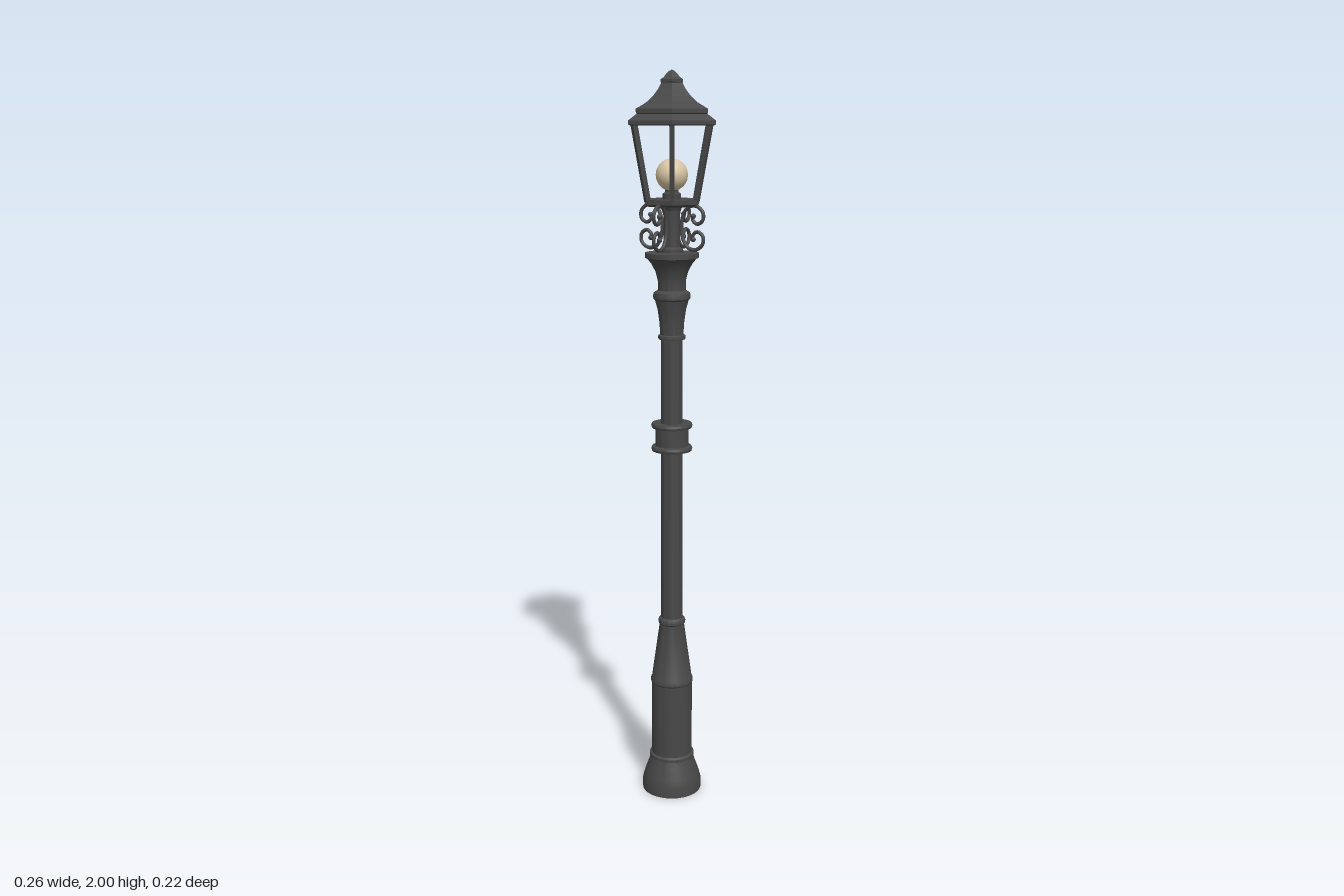
import * as THREE from 'three';
import { toCreasedNormals } from 'three/addons/utils/BufferGeometryUtils.js';

export function createModel() {
  const model = new THREE.Group();
  const iron = new THREE.MeshStandardMaterial({ color: 0x484848 });
  iron.name = 'cast iron';
  const glow = new THREE.MeshStandardMaterial({ color: 0xd8c6a4 });
  glow.name = 'warm bulb glass';

  const add = (name, geometry, material = iron, parent = model) => {
    const mesh = new THREE.Mesh(geometry, material);
    mesh.name = name;
    parent.add(mesh);
    return mesh;
  };
  // Profiles are [radius, height] pairs listed from bottom to top
  const turned = (name, profile, sides = 32) => add(name, toCreasedNormals(
    new THREE.LatheGeometry(profile.map(([r, y]) => new THREE.Vector2(r, y)), sides, Math.PI / 6),
    sides === 6 ? 0.1 : 0.5));
  const hexagonal = (name, profile) => turned(name, profile, 6);

  // Post, from the ground up
  turned('base', [[0, 0], [0.083, 0], [0.083, 0.028], [0.077, 0.05], [0.066, 0.08], [0.06, 0.098],
    [0.063, 0.1], [0.063, 0.108], [0.057, 0.112]]);
  turned('pedestal', [[0.057, 0.11], [0.057, 0.325], [0.059, 0.328], [0.059, 0.336], [0.056, 0.342],
    [0.034, 0.5], [0.037, 0.503], [0.038, 0.509], [0.036, 0.515], [0.029, 0.52]]);
  turned('shaft', [[0.03, 0.515], [0.029, 1.33]]);
  turned('collar', [[0.028, 1], [0.054, 1], [0.056, 1.006], [0.054, 1.012], [0.045, 1.014],
    [0.045, 1.062], [0.054, 1.064], [0.056, 1.07], [0.054, 1.076], [0.028, 1.076]]);
  turned('capital', [[0.029, 1.305], [0.036, 1.306], [0.037, 1.311], [0.036, 1.316], [0.031, 1.318],
    [0.033, 1.35], [0.038, 1.385], [0.045, 1.41], [0.049, 1.414], [0.05, 1.422], [0.048, 1.43],
    [0.037, 1.437], [0.037, 1.46], [0.043, 1.485], [0.055, 1.507], [0.066, 1.52],
    [0.071, 1.522], [0.071, 1.535], [0, 1.537]]);
  turned('neck', [[0.03, 1.533], [0.03, 1.545], [0.022, 1.55], [0.022, 1.645], [0.03, 1.66]]);

  // Four scroll brackets around the neck
  const half = [[0.029, 1.602], [0.033, 1.63], [0.048, 1.654], [0.073, 1.658], [0.092, 1.643],
    [0.092, 1.622], [0.076, 1.612], [0.063, 1.621], [0.064, 1.632]];
  const lower = half.slice(1).reverse().map(([x, y]) => [x, 3.204 - y]);
  const curve = new THREE.CatmullRomCurve3([...lower, ...half].map(([x, y]) => new THREE.Vector3(x, y, 0)));
  const scrollGeometry = new THREE.TubeGeometry(curve, 64, 0.005, 8);
  const scrolls = new THREE.Group();
  scrolls.name = 'scrollBrackets';
  model.add(scrolls);
  for (let i = 0; i < 4; i++) {
    const bracket = new THREE.Group();
    bracket.name = 'scrollBracket';
    bracket.rotation.y = i * Math.PI / 2;
    scrolls.add(bracket);
    add('scroll', scrollGeometry, iron, bracket);
    // Rounded scroll tips
    [half[8], lower[0]].forEach(([x, y]) =>
      add('scrollTip', new THREE.SphereGeometry(0.007, 10, 8), iron, bracket).position.set(x, y, 0));
  }

  // Lantern floor, bulb holder and bulb
  hexagonal('lanternFloor', [[0, 1.656], [0.07, 1.656], [0.08, 1.662], [0.08, 1.674], [0, 1.674]]);
  turned('bulbHolder', [[0.024, 1.673], [0.024, 1.688], [0.018, 1.692], [0.018, 1.704], [0, 1.704]], 20);
  add('bulb', new THREE.SphereGeometry(0.042, 24, 16), glow).position.y = 1.736;

  // Six slanted corner bars
  const foot = new THREE.Vector3(0.073, 1.668, 0);
  const head = new THREE.Vector3(0.113, 1.866, 0);
  const slope = head.clone().sub(foot);
  for (let i = 0; i < 6; i++) {
    const corner = new THREE.Group();
    corner.name = 'cornerBar';
    corner.rotation.y = i * Math.PI / 3;
    model.add(corner);
    const bar = add('bar', new THREE.BoxGeometry(0.012, slope.length(), 0.012), iron, corner);
    bar.position.copy(foot).add(head).multiplyScalar(0.5);
    bar.rotation.z = -Math.atan2(slope.x, slope.y);
  }

  // Stepped, concave hexagonal roof and finial
  hexagonal('eaves', [[0, 1.861], [0.124, 1.861], [0.128, 1.864], [0.128, 1.874], [0.122, 1.878],
    [0.104, 1.89]]);
  hexagonal('roof', [[0.1, 1.888], [0.106, 1.892], [0.106, 1.903], [0.099, 1.906], [0.076, 1.918],
    [0.056, 1.934], [0.041, 1.951], [0.03, 1.969]]);
  hexagonal('finial', [[0.028, 1.966], [0.033, 1.969], [0.033, 1.976], [0.024, 1.981], [0.018, 1.988],
    [0.009, 1.996], [0, 2]]);

  return model;
}
